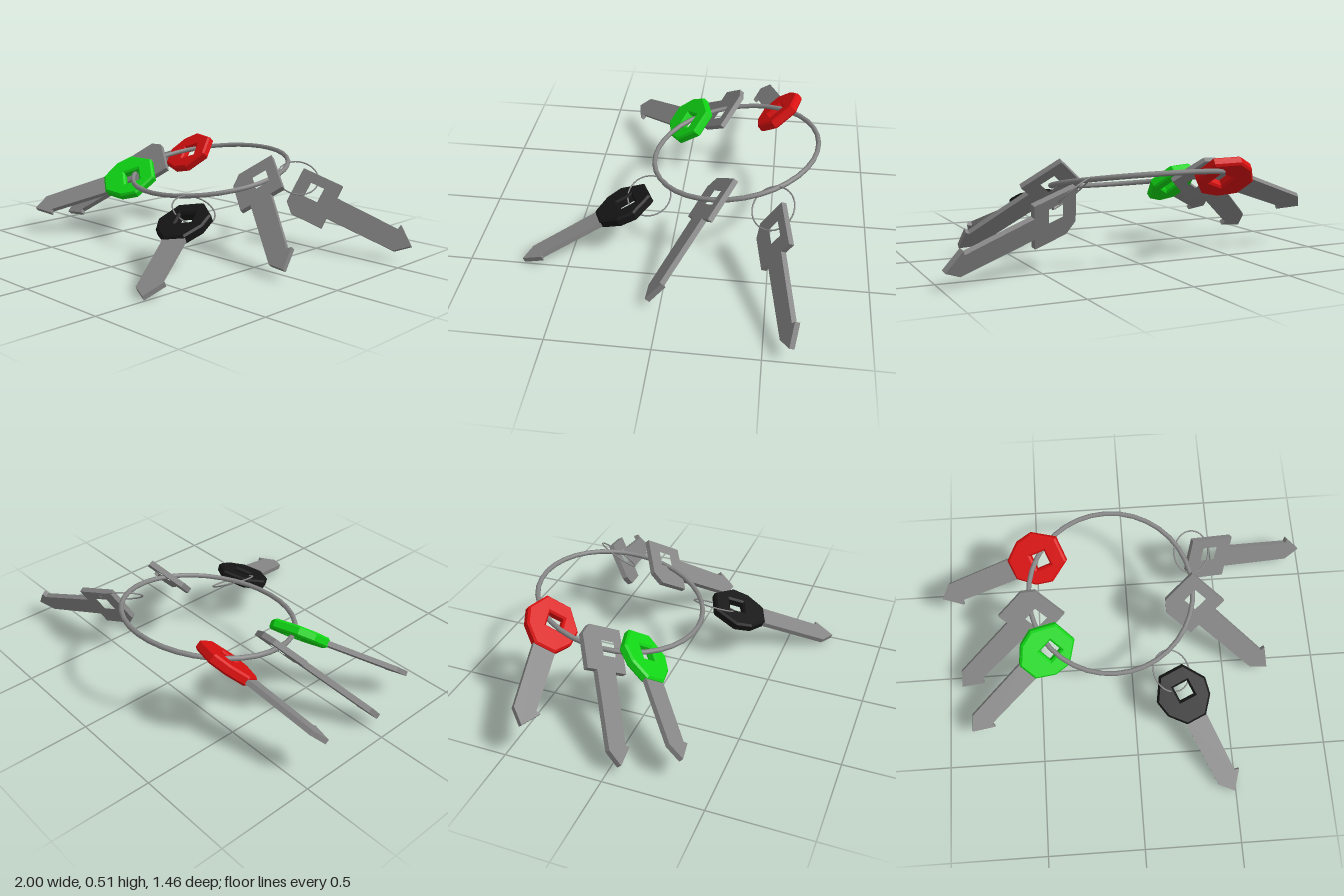
import * as THREE from 'three';

const steel = new THREE.MeshStandardMaterial({ color: 0x858585 });
steel.name = 'steel';
const red = new THREE.MeshStandardMaterial({ color: 0xd80f0f });
red.name = 'red plastic';
const green = new THREE.MeshStandardMaterial({ color: 0x10d414 });
green.name = 'green plastic';
const black = new THREE.MeshStandardMaterial({ color: 0x151515 });
black.name = 'black plastic';

const vec = (a) => new THREE.Vector3(...a);

// Key outlines: x runs from bow to tip, y across the blade
const blade = [[0.485, 0.05], [0.49, 0.075], [0.585, 0], [0.515, -0.06]];
const plainBow = [[0.12, -0.06], [0.12, -0.12], [-0.06, -0.12], [-0.115, -0.07], [-0.115, 0.13], [0.12, 0.13], [0.12, 0.06]];
const coverBow = [[-0.135, -0.068], [-0.02, -0.142], [0.07, -0.125], [0.155, -0.055],
  [0.155, 0.055], [0.07, 0.125], [-0.02, 0.142], [-0.135, 0.068]];

function plate(points, thickness, hole, bevel = 0) {
  const shape = new THREE.Shape(points.map(([x, y]) => new THREE.Vector2(x, y)));
  if (hole) {
    const [x, y, r] = hole;
    shape.holes.push(new THREE.Path([[-r, -r], [-r, r], [r, r], [r, -r]]
      .map(([a, b]) => new THREE.Vector2(x + a, y + b))));
  }
  const geo = new THREE.ExtrudeGeometry(shape, {
    depth: thickness - 2 * bevel,
    bevelEnabled: bevel > 0,
    bevelThickness: bevel,
    bevelSize: bevel,
    bevelOffset: -bevel,
    bevelSegments: 1,
  });
  return geo.translate(0, 0, bevel - thickness / 2);
}

function mesh(name, geo, material) {
  const m = new THREE.Mesh(geo, material);
  m.name = name;
  return m;
}

// Point local x along the blade and local z along the face normal
function orient(object, centre, along, normal) {
  const u = vec(along).normalize();
  const v = vec(normal).cross(u).normalize();
  const n = u.clone().cross(v);
  object.quaternion.setFromRotationMatrix(new THREE.Matrix4().makeBasis(u, v, n));
  object.position.set(...centre);
  return object;
}

function key(name, centre, along, normal, cover) {
  const group = new THREE.Group();
  group.name = name;
  if (cover) {
    const shaft = [[0.1, -0.06], ...blade.slice().reverse(), [0.1, 0.06]];
    group.add(mesh('blade', plate(shaft, 0.025), steel));
    group.add(mesh('bowCover', plate(coverBow, 0.052, [-0.01, 0.01, 0.04], 0.01), cover));
  } else {
    const outline = [...plainBow, ...blade];
    group.add(mesh('blade', plate(outline, 0.028, [0, 0.035, 0.04]), steel));
  }
  return orient(group, centre, along, normal);
}

function ring(name, radius, tube, centre, normal, segments) {
  const m = mesh(name, new THREE.TorusGeometry(radius, tube, 8, segments), steel);
  m.quaternion.setFromUnitVectors(new THREE.Vector3(0, 0, 1), vec(normal).normalize());
  m.position.set(...centre);
  return m;
}

export function createModel() {
  const model = new THREE.Group();
  model.name = 'keyRing';

  // Main ring and the two thin link rings
  model.add(
    ring('mainRing', 0.432, 0.013, [-0.09, 0.385, -0.29], [0, 0.984, 0.179], 36),
    ring('rearLinkRing', 0.112, 0.004, [0.357, 0.365, -0.505], [0.5, 0.75, 0.43], 32),
    ring('frontLinkRing', 0.112, 0.004, [0.2, 0.262, 0.125], [0.48, 0.86, 0.1], 32),
  );

  // Plain steel keys
  const slope = [0, 0.643, 0.766];
  model.add(
    key('leftPlainKey', [0.323, 0.367, -0.208], [0.707, -0.542, 0.455], slope),
    key('rightPlainKey', [-0.513, 0.367, -0.208], [-0.707, -0.542, 0.455], slope),
    key('rearPlainKey', [0.447, 0.262, -0.515], [0.933, -0.302, -0.195], [0.31, 0.405, 0.86]),
  );

  // Keys with coloured covers
  model.add(
    key('redKey', [-0.46, 0.405, -0.505], [-0.535, -0.185, 0.11], [-0.127, 0.73, 0.66], red),
    key('greenKey', [-0.44, 0.322, -0.016], [-0.4, -0.185, 0.335], [0.2, 0.72, 0.63], green),
    key('blackKey', [0.25, 0.228, 0.24], [0.414, -0.364, 0.833], [0, 0.915, 0.4], black),
  );

  return model;
}
